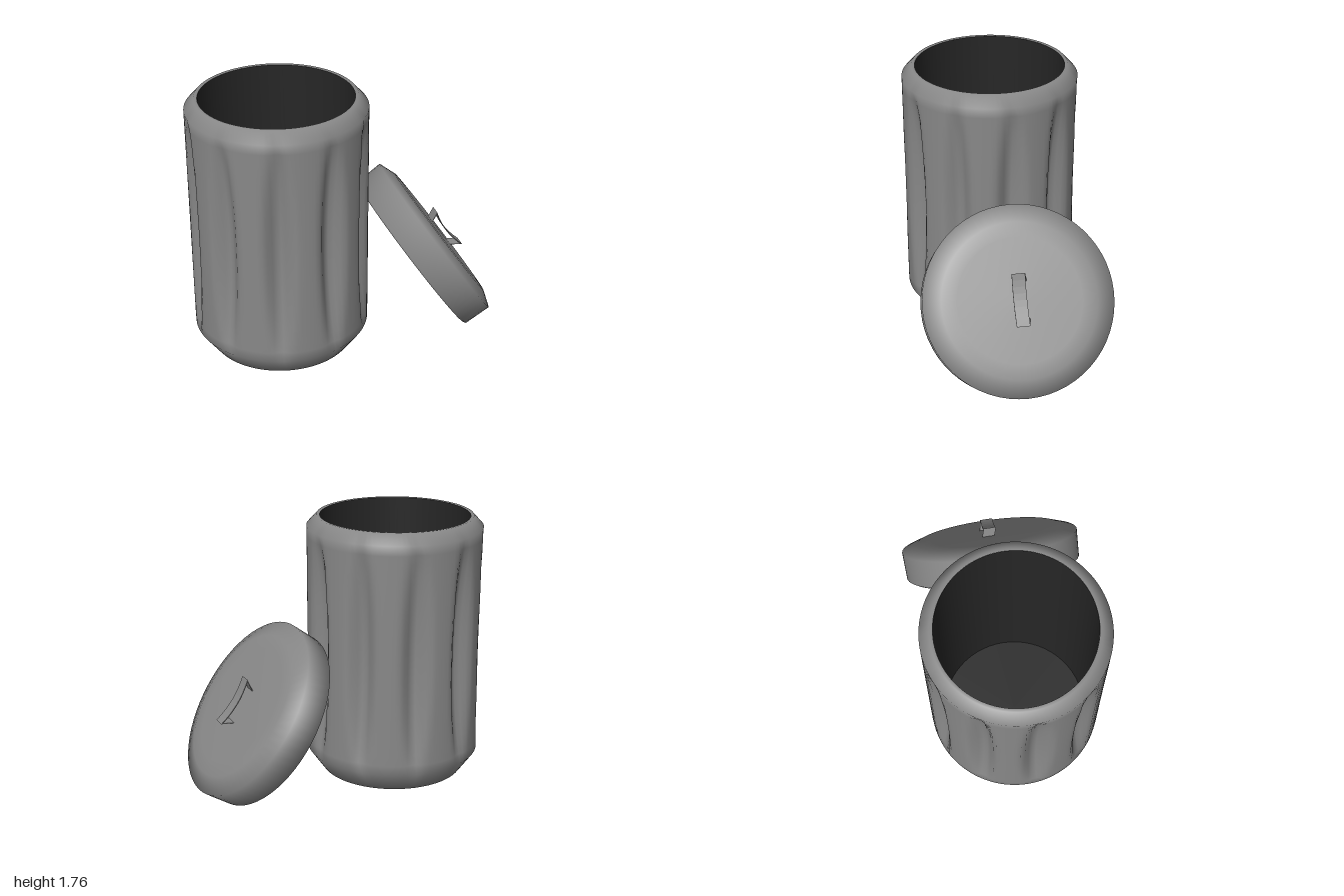
import * as THREE from 'three';
import { toCreasedNormals } from 'three/addons/utils/BufferGeometryUtils.js';

const metal = new THREE.MeshStandardMaterial({ color: 0x888888, side: THREE.DoubleSide });
const dark = new THREE.MeshStandardMaterial({ color: 0x262626, side: THREE.DoubleSide });
const rad = THREE.MathUtils.degToRad;

const lathe = (pts, segments) =>
  new THREE.LatheGeometry(pts.map(([r, y]) => new THREE.Vector2(r, y)), segments);

function add(parent, name, geometry, material = metal) {
  const mesh = new THREE.Mesh(geometry, material);
  mesh.name = name;
  parent.add(mesh);
}

// Press lens-shaped vertical flutes into the wall of the can
function pressFlutes(geometry, { count, phase, halfWidth, depth, y0, y1 }) {
  const p = geometry.attributes.position;
  const step = (Math.PI * 2) / count;
  for (let i = 0; i < p.count; i++) {
    const x = p.getX(i), y = p.getY(i), z = p.getZ(i), r = Math.hypot(x, z);
    if (y <= y0 || y >= y1) continue;
    const along = Math.sin(((y - y0) / (y1 - y0)) * Math.PI) ** 0.7;
    const width = halfWidth * (0.5 + 0.5 * along);
    let a = (Math.atan2(x, z) - phase) / step;
    a = (a - Math.round(a)) * step;
    if (Math.abs(a) >= width) continue;
    const across = Math.cos((a / width) * Math.PI / 2) ** 2;
    const k = 1 - (depth * across * along) / r;
    p.setX(i, x * k);
    p.setZ(i, z * k);
  }
  return geometry;
}

function createBin() {
  const bin = new THREE.Group();
  bin.name = 'bin';
  bin.position.x = -0.42;

  // Outer shell: base, bevel, fluted wall, sloped shoulder and lip
  const profile = [[0, 0.02], [0.475, 0.02], [0.575, 0.16]];
  const rows = 24;
  for (let i = 1; i < rows; i++) profile.push([0.576, 0.16 + (1.53 * i) / rows]);
  profile.push([0.576, 1.69], [0.512, 1.76], [0.49, 1.758]);
  const shell = pressFlutes(lathe(profile, 120), {
    count: 10, phase: rad(22.5), halfWidth: rad(12), depth: 0.082, y0: 0.17, y1: 1.66,
  });
  add(bin, 'binShell', toCreasedNormals(shell, 1.2));

  // Dark lining of the can
  const lining = lathe([[0.49, 1.758], [0.49, 0.06], [0, 0.06]], 60);
  add(bin, 'binLining', toCreasedNormals(lining, 0.9), dark);
  return bin;
}

function createLid() {
  const lid = new THREE.Group();
  lid.name = 'lid';
  lid.position.set(0.491, 0.486, 0);
  lid.rotation.z = -0.967;

  // Hollow cap, from the underside around the rim to the top
  const cap = lathe([
    [0, 0.222], [0.48, 0.215], [0.585, 0.17], [0.587, 0], [0.603, 0.01],
    [0.61, 0.195], [0.495, 0.237], [0.4, 0.241], [0, 0.243],
  ], 60);
  add(lid, 'lidCap', toCreasedNormals(cap, 1.3));

  // Thin sagging strap handle on two legs that slant inward
  const s = new THREE.Shape();
  s.moveTo(-0.115, 0.235);
  s.lineTo(-0.165, 0.308);
  s.quadraticCurveTo(0, 0.262, 0.165, 0.308);
  s.lineTo(0.115, 0.235);
  s.lineTo(0.111, 0.235);
  s.lineTo(0.156, 0.301);
  s.quadraticCurveTo(0, 0.257, -0.156, 0.301);
  s.lineTo(-0.111, 0.235);
  s.closePath();
  const strap = new THREE.ExtrudeGeometry(s, { depth: 0.085, bevelEnabled: false, curveSegments: 8 });
  strap.translate(0, 0, -0.036);
  // The feet sit slightly to one side of the strap
  const p = strap.attributes.position;
  for (let i = 0; i < p.count; i++) if (p.getY(i) < 0.24) p.setZ(i, p.getZ(i) - 0.018);
  strap.computeVertexNormals();
  add(lid, 'lidHandle', strap);
  return lid;
}

export function createModel() {
  const model = new THREE.Group();
  model.name = 'trashCan';
  model.add(createBin(), createLid());
  return model;
}
